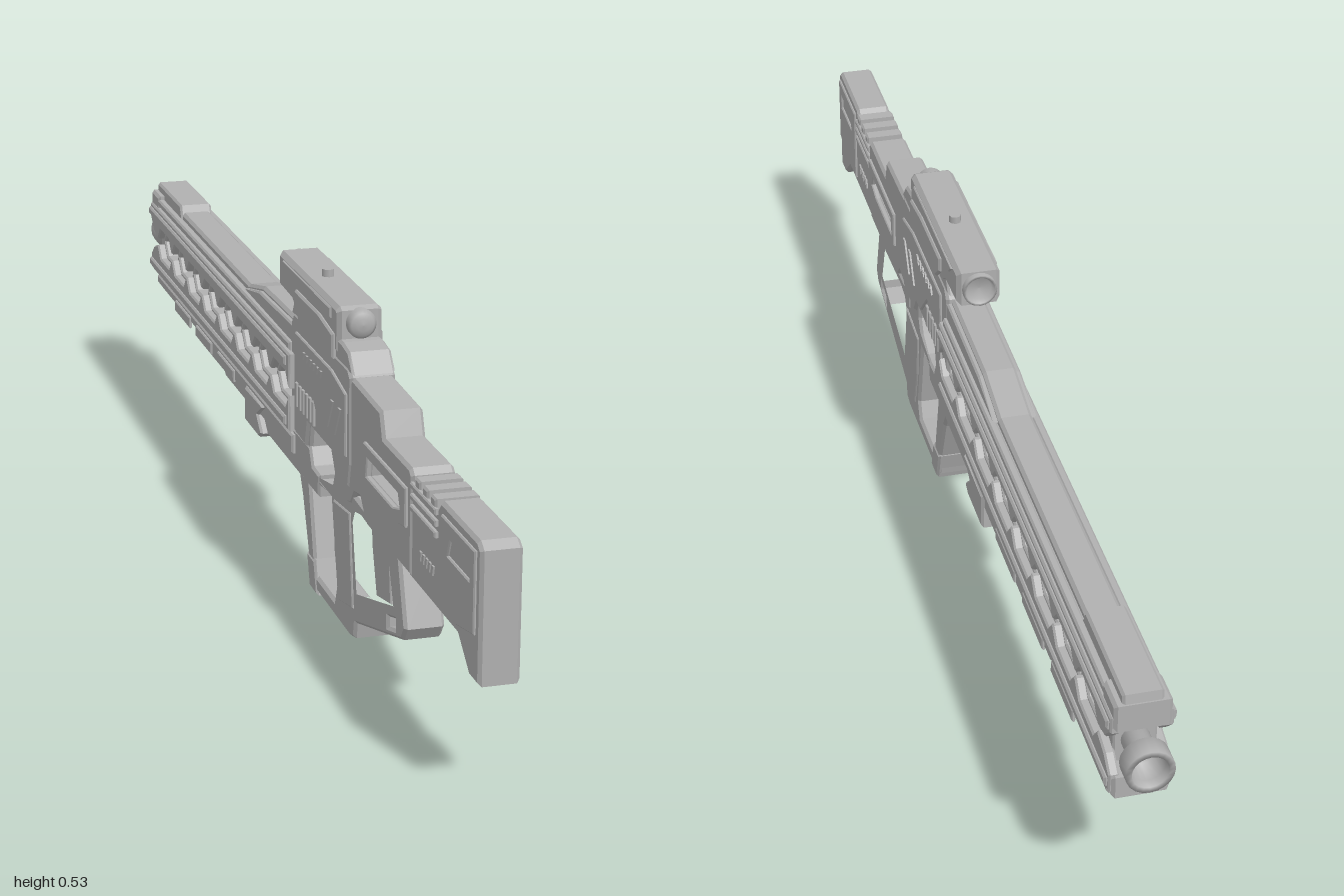
import * as THREE from 'three';

const metal = new THREE.MeshStandardMaterial({ color: 0xb0b0b0 });
metal.name = 'plain grey';

export function createModel() {
  const model = new THREE.Group();
  model.name = 'rifle';

  const add = (geometry, name) => {
    const mesh = new THREE.Mesh(geometry, metal);
    mesh.name = name;
    model.add(mesh);
    return mesh;
  };
  const points = (list) => list.map(([z, y]) => new THREE.Vector2(z, y));

  // Side profile in (z, y), extruded across x between x0 and x1 with chamfered rims
  const slab = (name, outline, x0, x1, holes = [], bevel = 0.005) => {
    const shape = new THREE.Shape(points(outline));
    holes.forEach((h) => shape.holes.push(new THREE.Path(points(h))));
    const geometry = new THREE.ExtrudeGeometry(shape, {
      depth: x1 - x0 - 2 * bevel, bevelEnabled: bevel > 0, bevelThickness: bevel,
      bevelSize: bevel, bevelOffset: -bevel, bevelSegments: 1, curveSegments: 6,
    });
    geometry.rotateY(-Math.PI / 2).translate(x1 - bevel, 0, 0);
    return add(geometry, name);
  };
  const centred = (name, outline, half, holes, bevel) => slab(name, outline, -half, half, holes, bevel);
  const bothSides = (name, outline, x0, x1, holes, bevel) => {
    slab(name + 'Left', outline, x0, x1, holes, bevel);
    slab(name + 'Right', outline, -x1, -x0, holes, bevel);
  };
  const rect = (z0, z1, y0, y1) => [[z0, y0], [z1, y0], [z1, y1], [z0, y1]];
  // Round part along z from [radius, z] pairs
  const turned = (name, profile, y, sides = 20) => {
    const geometry = new THREE.LatheGeometry(points(profile), sides);
    geometry.rotateX(Math.PI / 2).translate(0, y, 0);
    return add(geometry.toNonIndexed(), name);
  };

  // Shoulder stock with dropped toe
  centred('stock', [[1, 0.18], [1, 0.375], [0.985, 0.385], [0.83, 0.385], [0.815, 0.37], [0.69, 0.37],
    [0.69, 0.22], [0.91, 0.22], [0.96, 0.18]], 0.03);
  bothSides('stockCheek', [[0.985, 0.25], [0.985, 0.37], [0.84, 0.37], [0.84, 0.235], [0.91, 0.235]],
    0.026, 0.034, [[[0.965, 0.32], [0.965, 0.345], [0.88, 0.345], [0.87, 0.32]]], 0.002);
  for (let i = 0; i < 3; i++) {
    bothSides('stockRib', rect(0.705, 0.82, 0.327 + i * 0.017, 0.336 + i * 0.017), 0.028, 0.036, [], 0.002);
    centred('stockTopRib', rect(0.72 + i * 0.036, 0.742 + i * 0.036, 0.36, 0.382), 0.033, [], 0.003);
  }
  for (let i = 0; i < 5; i++) {
    const z = 0.74 + i * 0.014;
    bothSides('stockVent', [[z, 0.265], [z + 0.008, 0.265], [z + 0.012, 0.28], [z + 0.004, 0.28]], 0.029, 0.033, [], 0);
  }

  // Rear receiver block with a slot through it
  const slot = [[0.665, 0.315], [0.655, 0.335], [0.5, 0.335], [0.495, 0.305], [0.63, 0.305]];
  centred('rearReceiver', [[0.705, 0.225], [0.705, 0.378], [0.695, 0.387], [0.565, 0.387], [0.55, 0.425],
    [0.4, 0.43], [0.37, 0.43], [0.37, 0.22], [0.4, 0.225], [0.42, 0.25], [0.45, 0.255], [0.47, 0.235],
    [0.58, 0.225]], 0.033, [slot]);
  bothSides('slotFrame', [[0.69, 0.295], [0.69, 0.355], [0.48, 0.355], [0.48, 0.29], [0.66, 0.29]],
    0.028, 0.038, [slot], 0.002);
  for (let i = 0; i < 4; i++) centred('gripTooth', rect(0.475 + i * 0.028, 0.49 + i * 0.028, 0.22, 0.24), 0.03, [], 0.003);

  // Main receiver with grip, rear guard and forward guard in one frame
  const rearOpening = [[0.592, 0.225], [0.625, 0.142], [0.425, 0.083], [0.4, 0.2], [0.415, 0.225], [0.45, 0.232]];
  const guardOpening = [[0.285, 0.195], [0.215, 0.195], [0.2, 0.17], [0.157, 0.17], [0.188, 0.05], [0.2, 0.03],
    [0.305, 0.03], [0.317, 0.06]];
  const triggerOpening = [[0.3, 0.272], [0.17, 0.272], [0.164, 0.24], [0.175, 0.215], [0.2, 0.203],
    [0.25, 0.203], [0.29, 0.22], [0.302, 0.245]];
  const slit = [[0.628, 0.128], [0.588, 0.116], [0.588, 0.1], [0.628, 0.112]];
  centred('gripFrame', [[0.64, 0.235], [0.675, 0.13], [0.66, 0.108], [0.6, 0.09], [0.42, 0.037], [0.415, 0.01],
    [0.39, 0.004], [0.18, 0.004], [0.16, 0.01], [0.15, 0.055], [0.115, 0.14], [0.09, 0.18], [0.09, 0.3],
    [0.4, 0.3], [0.4, 0.245]], 0.031, [rearOpening, guardOpening, triggerOpening, slit]);
  centred('guardFoot', rect(0.155, 0.2, 0, 0.055).map(([z, y]) => [z - (y - 0.03) * 0.3, y]), 0.033, [], 0.004);
  bothSides('gripPanel', [[0.395, 0.21], [0.415, 0.06], [0.34, 0.045], [0.315, 0.12], [0.305, 0.2]], 0.028, 0.034, [], 0.002);
  centred('trigger', [[0.268, 0.28], [0.25, 0.28], [0.247, 0.25], [0.255, 0.215], [0.266, 0.212], [0.258, 0.25]], 0.008, [], 0.001);

  centred('receiver', [[0.405, 0.29], [0.405, 0.43], [0.39, 0.442], [0.08, 0.442], [0.065, 0.425], [0.065, 0.24],
    [0.15, 0.235], [0.163, 0.278], [0.3, 0.278], [0.32, 0.25], [0.395, 0.25]], 0.036);
  bothSides('receiverPlate', [[0.39, 0.3], [0.39, 0.4], [0.31, 0.415], [0.1, 0.415], [0.1, 0.36], [0.2, 0.345],
    [0.25, 0.295]], 0.033, 0.04, [], 0.002);
  for (let i = 0; i < 6; i++) {
    const z = 0.1 + i * 0.02;
    bothSides('receiverVent', [[z, 0.29], [z + 0.01, 0.29], [z + 0.01, 0.33], [z, 0.33]], 0.034, 0.04, [], 0.001);
    bothSides('receiverNotch', [[z + 0.05, 0.385], [z + 0.058, 0.385], [z + 0.066, 0.398], [z + 0.058, 0.398]], 0.038, 0.043, [], 0);
  }
  for (let i = 0; i < 2; i++) {
    const z = 0.29 + i * 0.04;
    bothSides('receiverSlash', [[z, 0.32], [z + 0.012, 0.32], [z + 0.042, 0.37], [z + 0.03, 0.37]], 0.038, 0.043, [], 0);
  }

  // Long shroud: hexagonal windows through the core, toothed rails outside
  const windows = [];
  const pitch = 0.123, first = 0.025, count = 8, mid = 0.307;
  for (let i = 0; i < count; i++) {
    const c = first - i * pitch;
    windows.push([[c + 0.056, mid], [c + 0.036, mid + 0.024], [c - 0.036, mid + 0.024],
      [c - 0.056, mid], [c - 0.036, mid - 0.024], [c + 0.036, mid - 0.024]]);
  }
  centred('shroudCore', rect(-0.925, 0.09, 0.22, 0.385), 0.032, windows, 0.003);

  // Toothed edge running along the windows; sign picks upper or lower
  const toothEdge = (sign) => {
    const edge = [];
    for (let i = 0; i < count; i++) {
      const c = first - i * pitch;
      edge.push([c + 0.058, mid + sign * 0.006], [c + 0.037, mid + sign * 0.029],
        [c - 0.037, mid + sign * 0.029], [c - 0.058, mid + sign * 0.006]);
    }
    return edge;
  };
  bothSides('upperRail', [...toothEdge(1), [-0.93, 0.32], [-0.955, 0.345], [-0.955, 0.372], [0.085, 0.372]],
    0.03, 0.046, [], 0.003);
  bothSides('lowerRail', [...toothEdge(-1), [-0.93, 0.29], [-0.955, 0.27], [-0.955, 0.24], [0.085, 0.24]],
    0.03, 0.046, [], 0.003);
  bothSides('upperRailStrip', rect(-0.95, 0.07, 0.35, 0.365), 0.042, 0.051, [], 0.003);
  bothSides('lowerRailStrip', rect(-0.95, 0.07, 0.248, 0.263), 0.042, 0.051, [], 0.003);
  bothSides('topLedge', rect(-0.94, 0.07, 0.374, 0.388), 0.028, 0.042, [], 0.003);

  // Top cover, raised near the receiver
  centred('topCover', [[0.09, 0.37], [0.09, 0.425], [-0.15, 0.42], [-0.25, 0.397], [-0.95, 0.397], [-0.95, 0.37]], 0.027);
  centred('topHump', [[0.09, 0.385], [0.09, 0.418], [-0.15, 0.412], [-0.25, 0.39]], 0.035, [], 0.003);
  centred('frontSightBlock', [[-0.75, 0.38], [-0.765, 0.41], [-0.955, 0.41], [-0.96, 0.38]], 0.03, [], 0.004);
  centred('frontCapUpper', rect(-0.96, -0.9, 0.35, 0.395), 0.042, [], 0.005);
  centred('frontCapLower', rect(-0.96, -0.9, 0.232, 0.268), 0.042, [], 0.005);

  // Underside, stepping up toward the muzzle
  centred('underBody', [[0.22, 0.24], [0.22, 0.17], [-0.21, 0.17], [-0.23, 0.182], [-0.4, 0.182], [-0.415, 0.192],
    [-0.45, 0.192], [-0.46, 0.187], [-0.6, 0.187], [-0.62, 0.203], [-0.93, 0.203], [-0.935, 0.24]]
    .map(([z, y]) => [Math.min(z, 0.13), y]), 0.033);
  centred('triggerBridge', [[0.22, 0.21], [0.215, 0.172], [0.08, 0.172], [0.08, 0.24], [0.165, 0.24], [0.18, 0.212]], 0.033, [], 0.004);
  bothSides('underSkirt', [[0.08, 0.232], [0.08, 0.2], [-0.58, 0.2], [-0.6, 0.215], [-0.93, 0.215], [-0.93, 0.232]],
    0.03, 0.04, [], 0.003);
  centred('underFin', [[-0.09, 0.225], [-0.13, 0.2], [-0.1, 0.175], [-0.12, 0.163], [-0.215, 0.163], [-0.215, 0.225]], 0.045, [], 0.004);
  for (let i = 0; i < 3; i++) bothSides('underPanel', rect(-0.42 - i * 0.17, -0.3 - i * 0.17, 0.205, 0.226), 0.038, 0.044, [], 0.002);

  // Muzzle with flared, hollow mouth
  turned('muzzle', [[0, -0.955], [0.022, -0.955], [0.027, -0.985], [0.027, -1], [0.036, -1], [0.036, -0.968],
    [0.021, -0.96], [0.021, -0.9], [0, -0.9]], 0.305);

  // Sight: mount, housing, lenses and knob
  centred('sightMount', [[0.41, 0.435], [0.385, 0.465], [0.35, 0.47], [0.08, 0.47], [0.06, 0.435]], 0.034, [], 0.004);
  centred('sightHousing', [[0.335, 0.445], [0.335, 0.515], [0.325, 0.52], [0.07, 0.52], [-0.012, 0.52],
    [-0.012, 0.46], [0.07, 0.457], [0.09, 0.445]], 0.036, [], 0.007);
  bothSides('sightPanel', [[0.32, 0.435], [0.32, 0.475], [0.24, 0.485], [0.1, 0.485], [0.1, 0.46], [0.13, 0.435]],
    0.032, 0.041, [], 0.003);
  bothSides('sightTopPanel', [[0.3, 0.495], [0.3, 0.512], [0.02, 0.512], [0.04, 0.495]], 0.034, 0.039, [], 0.002);
  turned('rearLens', [[0.023, 0.32], [0.023, 0.345], [0.018, 0.349], [0.01, 0.352], [0, 0.353]], 0.495);
  turned('frontLens', [[0, -0.012], [0.02, -0.014], [0.024, -0.022], [0.028, -0.022], [0.028, 0]], 0.49);
  const knob = add(new THREE.CylinderGeometry(0.01, 0.01, 0.02, 8), 'sightKnob');
  knob.position.set(0, 0.522, 0.155);

  return model;
}
